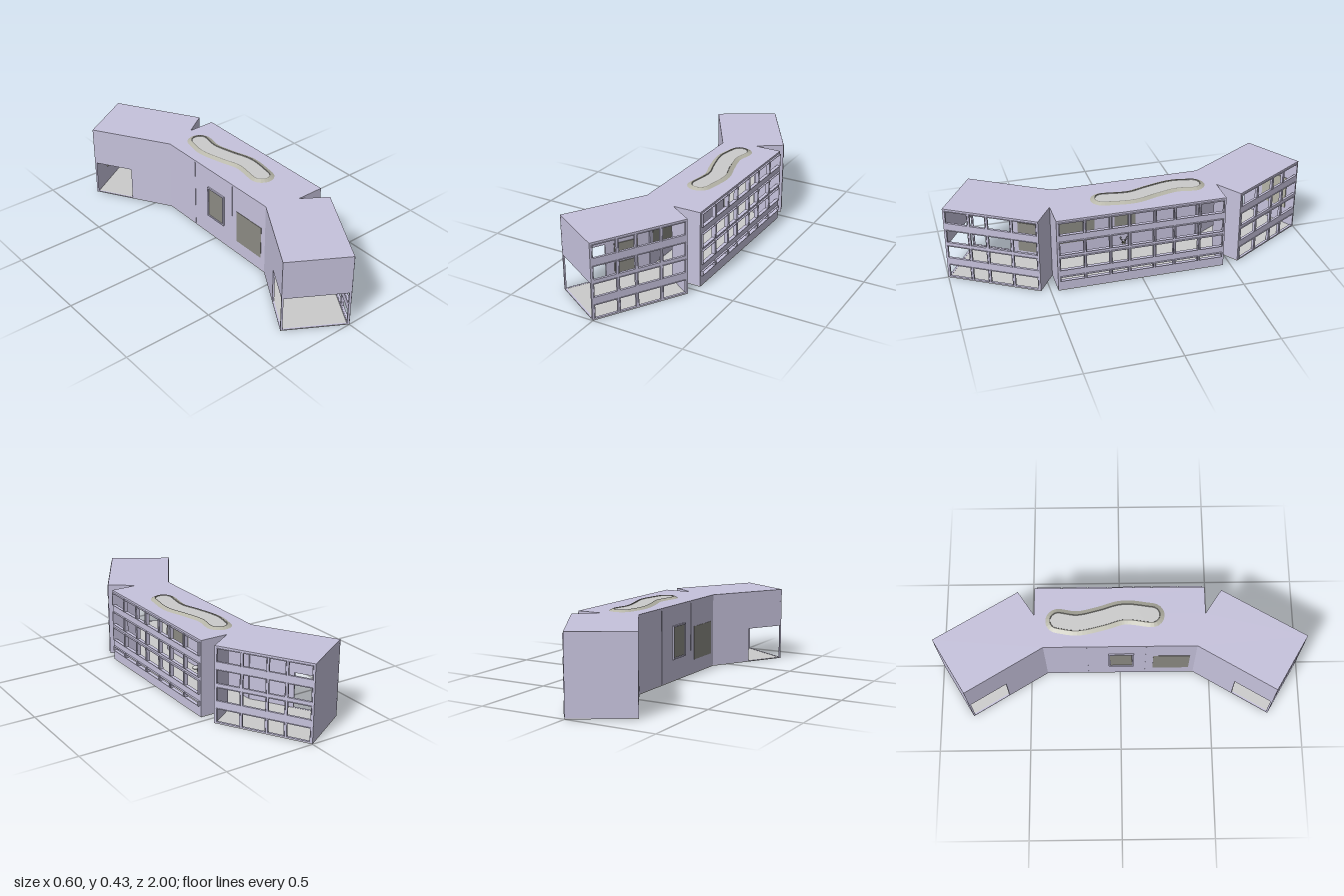
import * as THREE from 'three';

const LAVENDER = 0xc6c2dc, TAN = 0xb6b5a8, DARK = 0x8c8b84;
const mat = (color, side = THREE.FrontSide) => new THREE.MeshStandardMaterial({ color, side });
const wallMat = mat(LAVENDER), greyMat = mat(0xcccccc), tanMat = mat(TAN), darkMat = mat(DARK);

// Building plan (x, z); the inside is always on the extrusion side of each edge
const PLAN = [[-0.05, 0.41], [-0.05, -0.41], [-0.3, -0.82], [0, -1], [0.27, -0.55], [0.135, -0.46],
  [0.29, -0.46], [0.29, 0.46], [0.135, 0.46], [0.27, 0.55], [0, 1], [-0.3, 0.82]];
const FLOOR = 0.004, EAVES = 0.412, TOP = 0.42;

function add(parent, name, geometry, material) {
  const mesh = new THREE.Mesh(geometry, material);
  mesh.name = name;
  parent.add(mesh);
  return mesh;
}

function rectPath(Type, u0, y0, u1, y1) {
  return new Type([[u0, y0], [u1, y0], [u1, y1], [u0, y1]].map(p => new THREE.Vector2(...p)));
}

const extrude = (shape, depth) => new THREE.ExtrudeGeometry(shape, { depth, bevelEnabled: false, curveSegments: 8 });

// Group whose local x runs along plan edge i and whose local z points indoors
function edgeGroup(i, name) {
  const [ax, az] = PLAN[i], [bx, bz] = PLAN[(i + 1) % PLAN.length];
  const g = new THREE.Group();
  g.name = name;
  g.position.set(ax, 0, az);
  g.rotation.y = Math.atan2(az - bz, bx - ax);
  g.userData.length = Math.hypot(bx - ax, bz - az);
  return g;
}

function wall(parent, i, name, makeHoles = () => [], thickness = 0.01) {
  const g = edgeGroup(i, name), L = g.userData.length;
  const shape = rectPath(THREE.Shape, 0, FLOOR, L, EAVES);
  const holes = makeHoles(L);
  shape.holes = holes.map(h => rectPath(THREE.Path, ...h));
  add(g, name + 'Panel', extrude(shape, thickness), wallMat);
  parent.add(g);
  return { g, holes };
}

// Wall pierced by a grid of windows, each with a projecting frame
function facade(parent, i, name, columns, rows, projection) {
  const { g, holes } = wall(parent, i, name, L => {
    const list = [];
    for (let c = 0; c < columns.length - 1; c++)
      for (const [y0, y1] of rows) list.push([columns[c] * L + 0.006, y0, columns[c + 1] * L - 0.006, y1]);
    return list;
  }, 0.012);
  const b = 0.004;
  for (const [u0, y0, u1, y1] of holes) {
    const ring = rectPath(THREE.Shape, u0 - b / 2, y0 - b / 4, u1 + b / 2, y1 + b / 4);
    ring.holes.push(rectPath(THREE.Path, u0 + b / 2, y0 + b / 2, u1 - b / 2, y1 - b / 2));
    add(g, 'windowFrame', extrude(ring, projection + 0.008), wallMat).position.z = -projection;
  }
}

function slab(parent, name, y, depth, material) {
  const geo = extrude(new THREE.Shape(PLAN.map(p => new THREE.Vector2(...p))), depth);
  add(parent, name, geo.rotateX(Math.PI / 2), material).position.y = y;
}

// Rounded outline at distance w around the skylight's winding centre line
const skyCurve = new THREE.CatmullRomCurve3([[0.1, -0.33], [0.085, -0.23], [0.112, -0.1], [0.145, 0.02], [0.128, 0.17]]
  .map(([x, z]) => new THREE.Vector3(x, 0, z)));
function skyOutline(w) {
  const pts = [], n = 24, m = 10;
  const at = (t, turn) => {
    const p = skyCurve.getPoint(t), d = skyCurve.getTangent(t);
    const a = Math.atan2(d.z, d.x) + turn;
    pts.push(new THREE.Vector2(p.x + w * Math.cos(a), p.z + w * Math.sin(a)));
  };
  for (let k = 0; k <= n; k++) at(k / n, Math.PI / 2);
  for (let k = 1; k < m; k++) at(1, Math.PI / 2 - Math.PI * k / m);
  for (let k = n; k >= 0; k--) at(k / n, -Math.PI / 2);
  for (let k = 1; k < m; k++) at(0, -Math.PI / 2 - Math.PI * k / m);
  return pts;
}

function skylight(parent) {
  const g = new THREE.Group();
  g.name = 'skylight';
  const band = (name, rows, material) => {
    const rings = rows.map(([w]) => skyOutline(w)), n = rings[0].length, pos = [], idx = [];
    rings.forEach((ring, r) => ring.forEach(p => pos.push(p.x, rows[r][1], p.y)));
    for (let r = 0; r < rows.length - 1; r++)
      for (let k = 0; k < n; k++) {
        const a = r * n + k, b = r * n + (k + 1) % n;
        idx.push(a, b, a + n, b, b + n, a + n);
      }
    const geo = new THREE.BufferGeometry();
    geo.setAttribute('position', new THREE.Float32BufferAttribute(pos, 3));
    geo.setIndex(idx);
    const flat = geo.toNonIndexed();
    flat.computeVertexNormals();
    add(g, name, flat, material);
  };
  band('skylightSkirt', [[0.07, TOP], [0.05, 0.43]], mat(TAN, THREE.DoubleSide));
  band('skylightRim', [[0.05, 0.43], [0.045, 0.43], [0.042, 0.425]], mat(DARK, THREE.DoubleSide));
  const pane = new THREE.ShapeGeometry(new THREE.Shape(skyOutline(0.043))).rotateX(Math.PI / 2);
  add(g, 'skylightPane', pane, mat(0xcccccc, THREE.DoubleSide)).position.y = 0.427;
  parent.add(g);
}

function plant(parent) {
  const g = new THREE.Group();
  g.name = 'pottedPlant';
  g.position.set(0, FLOOR, 0.02);
  const profile = [[0, 0], [0.012, 0], [0.016, 0.015], [0.009, 0.035], [0.011, 0.045]].map(p => new THREE.Vector2(...p));
  add(g, 'vase', new THREE.LatheGeometry(profile, 16), mat(TAN, THREE.DoubleSide)).position.x = -0.012;
  for (let k = 0; k < 9; k++) {
    const a = k * 2.4, r = 0.008 + 0.002 * (k % 4);
    const stem = new THREE.QuadraticBezierCurve3(new THREE.Vector3(-0.012, 0.03, 0),
      new THREE.Vector3(-0.012 + r * Math.cos(a), 0.06, r * Math.sin(a)),
      new THREE.Vector3(-0.008 + 2 * r * Math.cos(a), 0.082 - 0.004 * (k % 3), 2 * r * Math.sin(a)));
    add(g, 'stem', new THREE.TubeGeometry(stem, 8, 0.001, 5), darkMat);
  }
  const stool = add(g, 'pebbleStool', new THREE.SphereGeometry(0.02, 20, 12), greyMat);
  stool.scale.y = 0.5;
  stool.position.set(-0.018, 0.01, 0.05);
  parent.add(g);
}

export function createModel() {
  const model = new THREE.Group();
  model.name = 'officeBuilding';

  slab(model, 'floor', FLOOR, FLOOR, greyMat);
  slab(model, 'roof', TOP, TOP - EAVES, wallMat);

  // Window walls
  const upper = [[0.126, 0.2], [0.22, 0.295], [0.336, 0.408]];
  const wingRows = [[0.01, 0.085], ...upper], midRows = [[0.06, 0.085], ...upper];
  const cols = [0.012, 0.27, 0.46, 0.72, 0.988];
  facade(model, 3, 'rearWingFacade', cols, wingRows, 0.004);
  facade(model, 9, 'frontWingFacade', cols.map(c => 1 - c).reverse(), wingRows, 0.004);
  facade(model, 6, 'mainFacade', [0.008, 0.16, 0.31, 0.42, 0.57, 0.69, 0.84, 0.992].map(c => 1 - c).reverse(), midRows, 0.01);

  // Notches between the main block and the wings
  for (const i of [4, 5, 7, 8]) wall(model, i, 'notchWall');

  // Back walls, with the outer lower half of each wing left open
  const mid = wall(model, 0, 'mainBackWall').g;
  const rearBack = wall(model, 1, 'rearWingBackWall', L => [[L * 0.52, 0.005, L - 0.006, 0.2]]).g;
  const frontBack = wall(model, 11, 'frontWingBackWall', L => [[0.006, 0.005, L * 0.48, 0.2]]).g;
  const rearEnd = wall(model, 2, 'rearEndWall').g;
  wall(model, 10, 'frontEndWall', L => [[0.008, 0.005, L - 0.006, 0.2]]);

  // Panels: [wall, name, u centre, y centre, width, height, z centre, depth, material]
  const panel = (g, name, u, y, w, h, z, d, m) =>
    add(g, name, new THREE.BoxGeometry(w, h, d), m).position.set(u, y, z);
  panel(mid, 'largeWindow', 0.13, 0.175, 0.2, 0.19, 0.005, 0.014, darkMat);
  panel(mid, 'smallWindow', 0.405, 0.215, 0.12, 0.17, 0.005, 0.016, darkMat);
  for (const s of [-1, 1]) {
    panel(mid, 'windowPost', 0.405 + s * 0.065, 0.215, 0.008, 0.186, 0.004, 0.024, wallMat);
    panel(mid, 'windowRail', 0.405, 0.215 + s * 0.089, 0.138, 0.008, 0.004, 0.024, wallMat);
  }
  for (const u of [0.27, 0.59]) panel(mid, 'wallJoint', u, 0.208, 0.004, 0.4, 0, 0.004, wallMat);
  panel(rearEnd, 'wallBoard', 0.21, 0.2, 0.165, 0.19, 0.012, 0.006, tanMat);

  // Inner wall boards of the wing
  const L = frontBack.userData.length;
  for (const y of [0.05, 0.16]) panel(frontBack, 'innerBoard', L * 0.72, y, 0.135, 0.068, 0.012, 0.006, darkMat);

  skylight(model);
  plant(model);
  return model;
}
